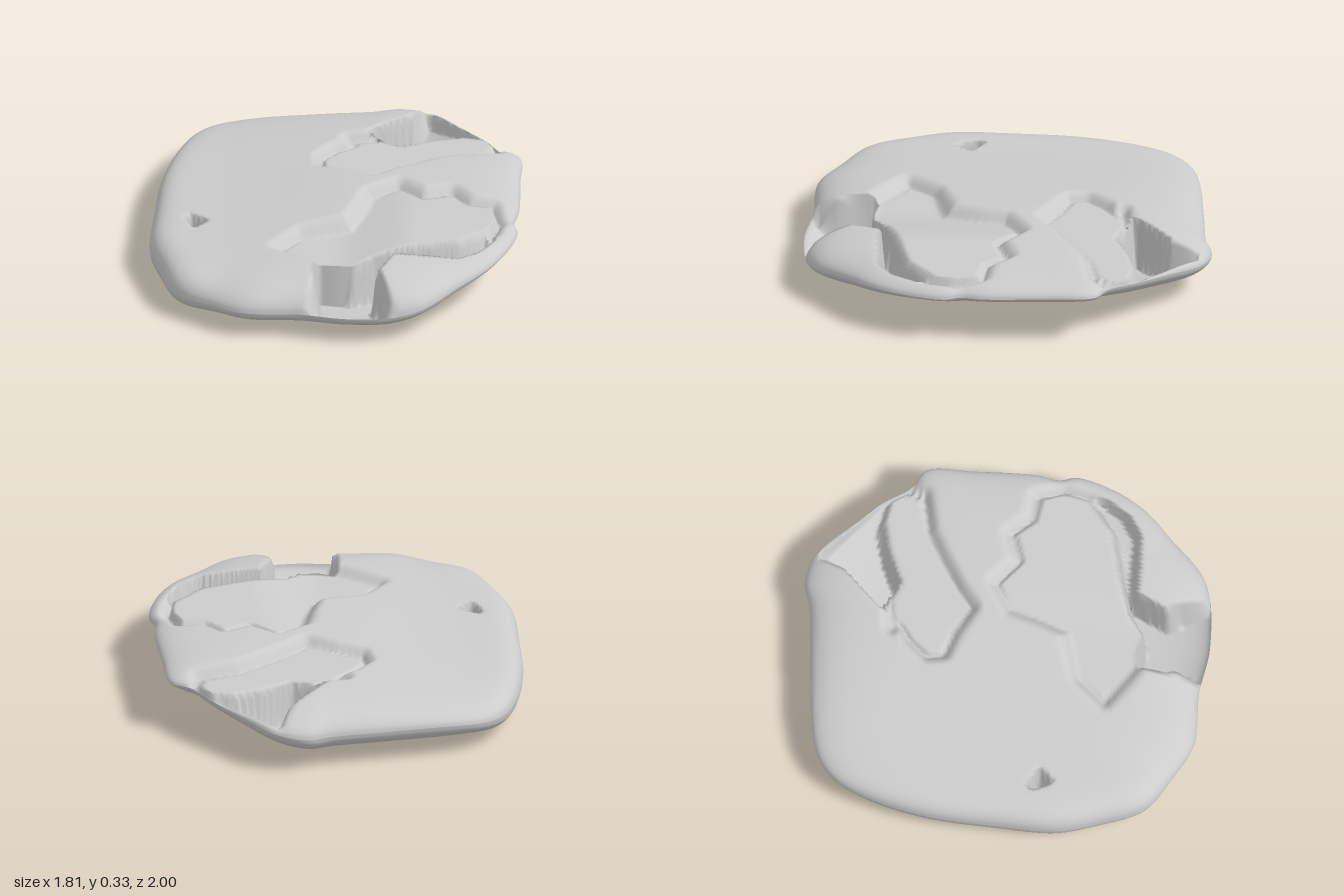
import * as THREE from 'three';

const SEGMENTS = 240, RINGS = 70;
const pairs = (a) => Array.from({ length: a.length / 2 }, (_, i) => [a[2 * i], a[2 * i + 1]]);
const smooth = THREE.MathUtils.smoothstep;

// Plan outline (x, z)
const OUTLINE = pairs([0.3, -1, 0.45, -0.95, 0.6, -0.78, 0.72, -0.63, 0.8, -0.5, 0.89, -0.44, 0.9, -0.2,
  0.9, 0.1, 0.88, 0.22, 0.9, 0.3, 0.84, 0.5, 0.75, 0.65, 0.62, 0.78, 0.42, 0.96, 0.1, 1, -0.15, 0.96,
  -0.42, 0.95, -0.6, 0.85, -0.76, 0.73, -0.85, 0.5, -0.9, 0.3, -0.89, 0, -0.86, -0.35, -0.78, -0.65,
  -0.7, -0.8, -0.6, -0.88, -0.45, -0.92, -0.1, -0.95, 0.18, -0.97]);

// Regions of the top: plan polygon, floor height, and how wide / deep the skin curls down around it
const REGIONS = [
  { // back plate
    poly: pairs([-0.08, -0.38, 0, -0.47, 0.08, -0.52, 0.05, -0.56, 0.22, -0.58, 0.3, -0.53, 0.45, -0.6, 0.6, -0.64,
      0.72, -0.62, 0.78, -0.52, 0.75, -0.44, 0.55, -0.4, 0.42, -0.33, 0.27, -0.24, 0.18, -0.17, 0.05, -0.25, -0.07, -0.3]),
    floor: () => 0.275, lip: 0.06, curl: 0.06,
  },
  { // front plate
    poly: pairs([0.31, -0.06, 0.43, 0.05, 0.57, 0, 0.65, 0.1, 0.77, 0.12, 0.81, 0.25, 0.78, 0.37, 0.62, 0.5, 0.4, 0.55,
      0.2, 0.6, 0.1, 0.67, -0.08, 0.64, -0.26, 0.5, -0.15, 0.37, 0.08, 0.3, 0.14, 0.15, 0.18, 0.02]),
    floor: (x) => 0.24 + 0.065 * smooth(x, 0, 0.4), lip: 0.07, curl: 0.06,
  },
  { // opening behind the back plate
    poly: pairs([0.42, -0.95, 0.75, -0.6, 0.6, -0.64, 0.45, -0.6, 0.3, -0.53, 0.15, -0.62, 0.35, -0.8]),
    floor: () => 0, lip: 0.03, curl: 0.01,
  },
  { // opening in the front edge, running around the front plate
    poly: pairs([-0.08, 0.64, 0.1, 0.67, 0.2, 0.6, 0.4, 0.55, 0.62, 0.5, 0.74, 0.41, 0.8, 0.42, 0.72, 0.55, 0.62, 0.62,
      0.3, 0.62, 0.22, 0.78, 0.33, 1.05, -0.12, 1.05, -0.08, 0.84]),
    floor: () => 0, lip: 0.03, curl: 0.01,
  },
  { // small pit
    poly: pairs([-0.73, 0.17, -0.7, 0.15, -0.62, 0.2, -0.69, 0.27]),
    floor: () => 0, lip: 0.02, curl: 0.01,
  },
];

// Distance to a polygon, negative inside
function signedDistance(poly, x, z) {
  let best = Infinity, inside = false;
  poly.forEach(([ax, az], i) => {
    const [bx, bz] = poly[(i + 1) % poly.length];
    const ex = bx - ax, ez = bz - az;
    const t = THREE.MathUtils.clamp(((x - ax) * ex + (z - az) * ez) / (ex * ex + ez * ez), 0, 1);
    best = Math.min(best, Math.hypot(x - ax - t * ex, z - az - t * ez));
    if ((az > z) !== (bz > z) && x < ax + ((z - az) * ex) / ez) inside = !inside;
  });
  return inside ? -best : best;
}

// Height of the rim where the two skins meet, and how full the section is (blunter on the right)
const rimHeight = (x, z) => 0.16 + 0.09 * smooth(x, 0.2, 0.9) - 0.03 * smooth(-x, 0.3, 0.9) - 0.02 * z;
const fullness = (x, r) => Math.sqrt(Math.max(0, 1 - r ** (7 + 9 * smooth(-x, 0.5, 0.85))));

function underside(x, z, r) {
  const base = 0.2 * (Math.max(0, x - 0.25) / 0.65) ** 1.3 + 0.05 * z * z * (z < 0 ? 1.2 : 0.8);
  const rim = rimHeight(x, z);
  return rim + (Math.min(base, rim) - rim) * fullness(x, r);
}

function topside(x, z, r) {
  const crown = 0.25 + 0.085 * smooth(x, -0.75, 0.3) - 0.04 * z * z * smooth(x, -0.6, 0.4);
  const rim = rimHeight(x, z);
  const skin = rim + (crown - rim) * fullness(x, r);
  const low = underside(x, z, r) + 0.012 * fullness(x, r);
  let y = skin;
  for (const h of REGIONS) {
    const d = signedDistance(h.poly, x, z);
    if (d > h.lip) continue;
    const lip = skin - h.curl * (1 - Math.max(d, 0) / h.lip) ** 2;
    y = Math.min(y, THREE.MathUtils.lerp(lip, Math.min(skin, h.floor(x)), smooth(-d, 0, 0.02)));
  }
  return Math.max(y, low);
}

// One skin: concentric rings scaled from the outline, lifted by a height rule
function skinGeometry(height, up) {
  const curve = new THREE.CatmullRomCurve3(OUTLINE.map(([x, z]) => new THREE.Vector3(x, 0, z)), true, 'centripetal');
  const edge = curve.getSpacedPoints(SEGMENTS).slice(0, SEGMENTS);
  const pos = [0, height(0, 0, 0), 0], index = [];
  const tri = (a, b, c) => (up ? index.push(a, c, b) : index.push(a, b, c));
  for (let k = 1; k <= RINGS; k++) {
    const r = 1 - (1 - k / RINGS) ** 1.4;
    for (const p of edge) pos.push(p.x * r, height(p.x * r, p.z * r, r), p.z * r);
  }
  for (let i = 0; i < SEGMENTS; i++) {
    const j = (i + 1) % SEGMENTS;
    tri(0, 1 + i, 1 + j);
    for (let k = 0; k < RINGS - 1; k++) {
      const a = 1 + k * SEGMENTS, b = a + SEGMENTS;
      tri(a + i, b + i, b + j);
      tri(a + i, b + j, a + j);
    }
  }
  const geo = new THREE.BufferGeometry();
  geo.setAttribute('position', new THREE.Float32BufferAttribute(pos, 3));
  geo.setIndex(index);
  geo.computeVertexNormals();
  return geo;
}

export function createModel() {
  const group = new THREE.Group();
  group.name = 'flatHollowedShell';
  const material = new THREE.MeshStandardMaterial({ color: 0xcccccc, side: THREE.DoubleSide });
  const add = (name, height, up) => {
    const mesh = new THREE.Mesh(skinGeometry(height, up), material);
    mesh.name = name;
    group.add(mesh);
  };
  add('platedTop', topside, true);
  add('roundedUnderside', underside, false);
  return group;
}
